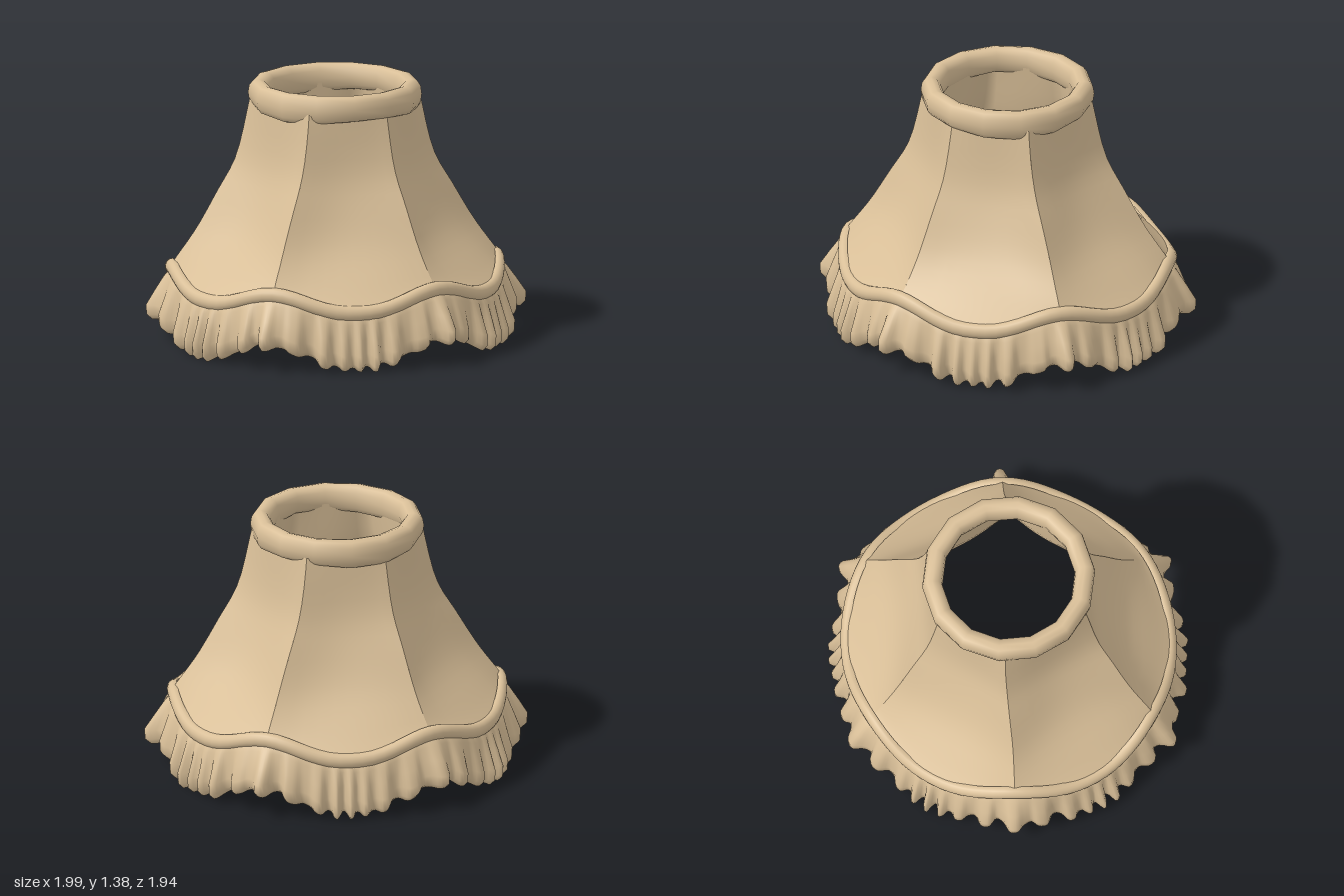
import * as THREE from 'three';
import { mergeVertices } from 'three/addons/utils/BufferGeometryUtils.js';

const fabric = new THREE.MeshStandardMaterial({ color: 0xd9bf98, side: THREE.DoubleSide });
fabric.name = 'tan fabric';

const TAU = Math.PI * 2;
const { lerp, smoothstep } = THREE.MathUtils;

// 1 on the six ribs, 0 in the middle of each panel
const ribness = (a) => (1 + Math.cos(6 * a)) / 2;

// Point at angle a; the lower part is slightly deeper than wide
function polar(a, r, y) {
  const stretch = 1 + 0.03 * (1 - smoothstep(y, 0.4, 1));
  return new THREE.Vector3(Math.cos(a) * r, y, Math.sin(a) * r * stretch);
}

// Grid surface from a rule, u around and v downwards
function surface(name, nu, nv, rule) {
  const pos = [], index = [];
  for (let j = 0; j <= nv; j++) {
    for (let i = 0; i <= nu; i++) pos.push(...rule(i / nu, j / nv).toArray());
  }
  const row = nu + 1;
  for (let j = 0; j < nv; j++) {
    for (let i = 0; i < nu; i++) {
      const a = j * row + i, b = a + 1, c = a + row, d = c + 1;
      index.push(a, b, c, b, d, c);
    }
  }
  let geo = new THREE.BufferGeometry();
  geo.setAttribute('position', new THREE.Float32BufferAttribute(pos, 3));
  geo.setIndex(index);
  geo = mergeVertices(geo, 1e-4);
  geo.computeVertexNormals();
  const mesh = new THREE.Mesh(geo, fabric);
  mesh.name = name;
  return mesh;
}

// Radius by height, along a rib and along a panel's middle
const spline = (pts) => new THREE.SplineCurve(pts.map(([r, y]) => new THREE.Vector2(r, y)));
const ribLine = spline([[0.43, 1.29], [0.495, 1.0], [0.595, 0.8], [0.7, 0.6], [0.805, 0.45], [0.85, 0.41]]);
const midLine = spline([[0.395, 1.29], [0.43, 1.0], [0.5, 0.8], [0.605, 0.6], [0.76, 0.43], [0.86, 0.335]]);

// Panels are flat across; the front and back ones are the widest
function shadePoint(a, v, inset) {
  const phi = ((a + TAU) % (TAU / 6)) - TAU / 12;
  const c30 = Math.cos(Math.PI / 6);
  const h = (1 - c30 / Math.cos(phi)) / (1 - c30);
  const rib = ribLine.getPoint(v), mid = midLine.getPoint(v);
  const ribR = rib.x * (1 + 0.07 * Math.sin(a) ** 2 * (1 - v ** 6));
  const y = lerp(rib.y, mid.y, h);
  const turned = a - 0.07 * Math.sin(2 * a) * smoothstep(y, 0.6, 1.25);
  return polar(turned, lerp(ribR, mid.x, h) - inset, y);
}

// Wavy height of the trim that covers the panels' lower edge
const trimY = (a) => 0.315 + 0.09 * Math.pow(ribness(a), 1.3);

// Half-round band, open on the inside and running into the frill
function trimPoint(u, v) {
  const a = u * TAU, t = Math.PI * (0.62 - 0.92 * v);
  return polar(a, 0.843 + 0.036 * Math.cos(t), trimY(a) - 0.003 + 0.042 * Math.sin(t));
}

// Gathered frill: broad uneven pleats outside, a smooth face inside
function frillPoint(u, v) {
  const a = u * TAU;
  const warped = a - 0.055 * Math.sin(6 * a);
  const pleat = Math.tanh(1.4 * Math.cos(48 * warped + 0.9 * Math.sin(12 * a) + 0.5 * Math.sin(5 * a)));
  const uneven = 1 + 0.35 * Math.sin(17 * a + 1);
  const corner = Math.pow(ribness(a), 10);
  const top = trimY(a) - 0.025;
  const bottom = 0.02 + 0.115 * Math.pow(ribness(a), 1.4) - 0.01 * pleat * uneven;
  const out = 0.915 + 0.026 * pleat * uneven + 0.055 * corner;
  const section = [
    [0.864, top],
    [lerp(0.872, out, 0.2), lerp(top, bottom, 0.12)],
    [lerp(0.872, out, 0.6), lerp(top, bottom, 0.4)],
    [out, lerp(top, bottom, 0.7)],
    [out - 0.003, lerp(top, bottom, 0.9)],
    [out - 0.03, bottom],
    [out - 0.06, bottom + 0.008],
    [lerp(0.855, out - 0.07, 0.4), lerp(top, bottom, 0.75)],
    [0.838, lerp(top, bottom, 0.35)],
    [0.815, top + 0.025],
  ];
  const [r, y] = section[Math.round(v * (section.length - 1))];
  return polar(a, r, y);
}

// Padded collar around the top opening
function collarPoint(u, v) {
  const a = u * TAU, t = Math.PI / 2 - v * TAU;
  const soft = (x) => Math.sign(x) * Math.pow(Math.abs(x), 0.85);
  const sag = 0.006 * Math.sin(3 * a + 1);
  return polar(a, 0.404 + 0.054 * soft(Math.cos(t)), 1.312 + sag * (1 - Math.sin(t)) + 0.075 * soft(Math.sin(t)));
}

export function createModel() {
  const group = new THREE.Group();
  group.name = 'lampshade';

  // Six separate panels keep a crease along each rib
  for (let k = 0; k < 6; k++) {
    // stay just inside the panel's ends so each edge belongs to its own panel
    const angle = (u) => (k + lerp(1e-5, 1 - 1e-5, u)) * TAU / 6;
    group.add(surface('shadePanel' + (k + 1), 10, 18, (u, v) => shadePoint(angle(u), v, 0)));
  }
  // Smooth lining inside the panels, thicker towards the collar
  group.add(surface('lining', 60, 18, (u, v) => shadePoint(u * TAU, v, lerp(0.045, 0.03, v))));
  group.add(surface('topCollar', 14, 12, collarPoint));
  group.add(surface('lowerTrim', 96, 8, trimPoint));
  group.add(surface('pleatedFrill', 480, 9, frillPoint));
  return group;
}
